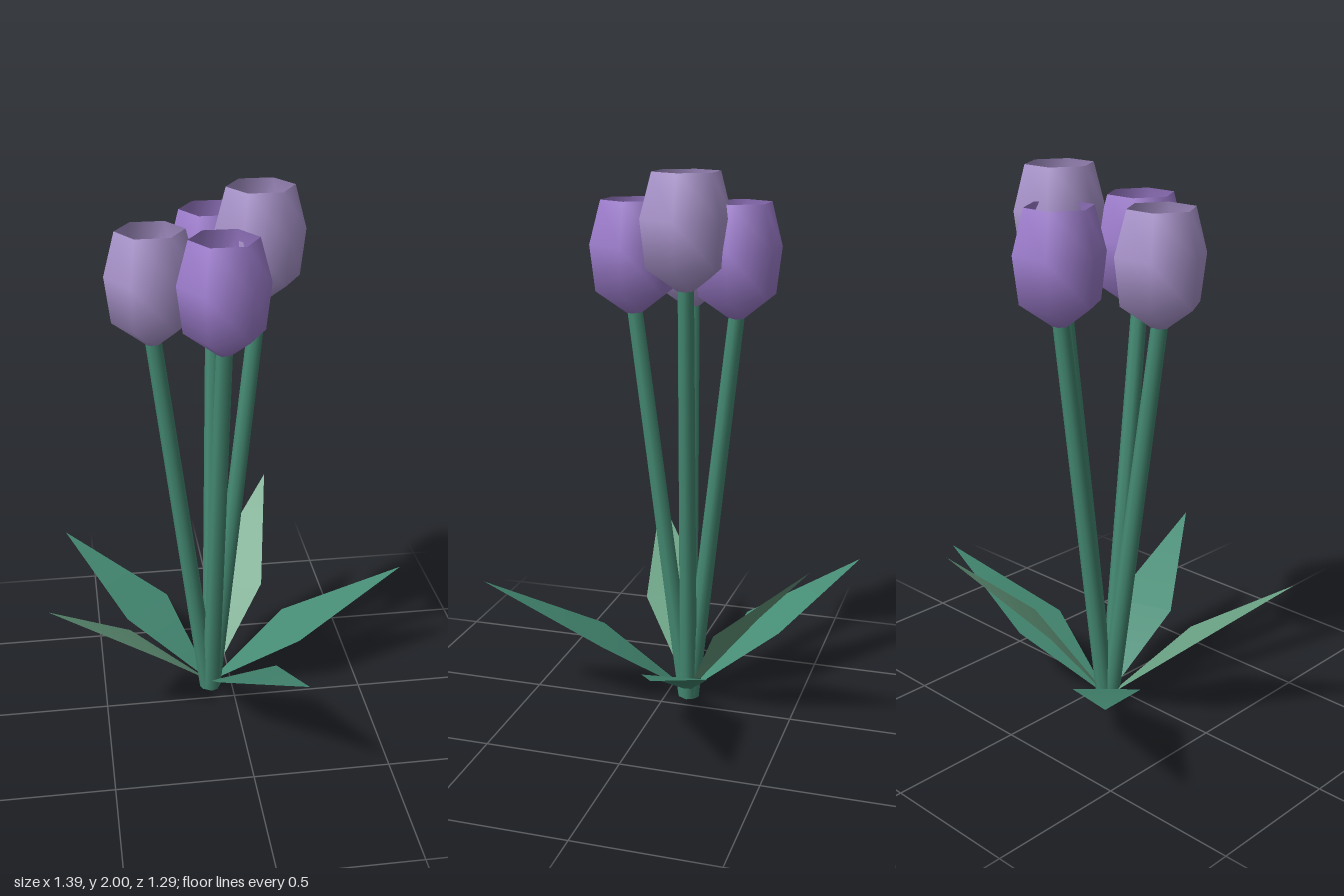
import * as THREE from 'three';

const DS = THREE.DoubleSide;
const mat = (name, color) => {
  const m = new THREE.MeshStandardMaterial({ color, side: DS });
  m.name = name;
  return m;
};

const V = (a) => new THREE.Vector3(...a);
const BASE = [-0.085, 0.02, -0.085];

// Tapered stem between two points
function makeStem(from, to, material) {
  const a = V(from), b = V(to);
  const dir = b.clone().sub(a);
  const stem = new THREE.Mesh(new THREE.CylinderGeometry(0.029, 0.034, dir.length(), 8), material);
  stem.quaternion.setFromUnitVectors(new THREE.Vector3(0, 1, 0), dir.normalize());
  stem.position.copy(a).add(b).multiplyScalar(0.5);
  stem.name = 'stem';
  return stem;
}

// Six-sided cup, with inner petals and a folded bud; origin at its foot
function makeFlower(material) {
  const flower = new THREE.Group();
  const add = (name, geometry) => {
    const mesh = new THREE.Mesh(geometry, material);
    mesh.name = name;
    flower.add(mesh);
    return mesh;
  };
  const lathe = (pts) => new THREE.LatheGeometry(
    pts.map(([r, y]) => new THREE.Vector2(r, y)), 6, Math.PI / 2);

  add('outerPetals', lathe([[0.001, -0.01], [0.03, 0], [0.141, 0.08], [0.161, 0.245], [0.12, 0.4]]));

  // Inner petals: alternate rim corners stand lower
  const inner = lathe([[0.05, 0.09], [0.115, 0.22], [0.088, 0.375]]);
  const p = inner.attributes.position;
  for (let i = 0; i <= 6; i += 2) p.setY(i * 3 + 2, 0.3);
  inner.computeVertexNormals();
  add('innerPetals', inner);

  // Three-sided bud in the middle
  const bud = new THREE.ConeGeometry(0.085, 0.12, 3, 1, true).toNonIndexed();
  bud.computeVertexNormals();
  const budMesh = add('bud', bud);
  budMesh.position.y = 0.25;
  budMesh.rotation.y = Math.PI;
  return flower;
}

// Kite-shaped leaf, bent across its widest line
function makeLeaf(tip, midY, material) {
  const base = V(BASE), end = V(tip);
  const mid = base.clone().lerp(end, 0.42).setY(midY);
  const side = new THREE.Vector3(end.z - base.z, 0, base.x - end.x).setLength(0.12);
  const pts = [base, mid.clone().add(side), mid.clone().sub(side), end];
  const g = new THREE.BufferGeometry().setFromPoints(pts);
  g.setIndex([0, 1, 2, 1, 3, 2]);
  g.computeVertexNormals();
  const leaf = new THREE.Mesh(g, material);
  leaf.name = 'leaf';
  return leaf;
}

export function createModel() {
  const model = new THREE.Group();
  model.name = 'flowerBunch';
  const green = mat('tealGreen', 0x458b74);
  const lightGreen = mat('lightGreen', 0x6ca486);
  const pale = mat('palePurple', 0xb29cd6);
  const deep = mat('deepPurple', 0xa684d8);

  // Flowers: foot position and colour
  [
    [[-0.28, 1.485, -0.035], pale],
    [[-0.05, 1.49, 0.115], deep],
    [[0.107, 1.6, -0.12], pale],
    [[-0.04, 1.49, -0.265], deep],
  ].forEach(([foot, material]) => {
    const tulip = new THREE.Group();
    tulip.name = 'flower';
    const start = [BASE[0] + (foot[0] - BASE[0]) * 0.04, 0.005, BASE[2] + (foot[2] - BASE[2]) * 0.04];
    tulip.add(makeStem(start, [foot[0], foot[1] + 0.02, foot[2]], green));
    const head = makeFlower(material);
    head.name = 'flowerHead';
    head.position.set(...foot);
    tulip.add(head);
    model.add(tulip);
  });

  // Leaves: tip, height of widest line, colour
  [
    [[-0.62, 0.43, -0.65], 0.24, green],
    [[0.21, 0.67, -0.595], 0.36, lightGreen],
    [[0.165, 0.48, 0.645], 0.255, green],
    [[0.695, 0.43, -0.175], 0.23, green],
    [[-0.7, 0.585, 0.215], 0.3, lightGreen],
  ].forEach(([tip, midY, material]) => model.add(makeLeaf(tip, midY, material)));

  return model;
}
